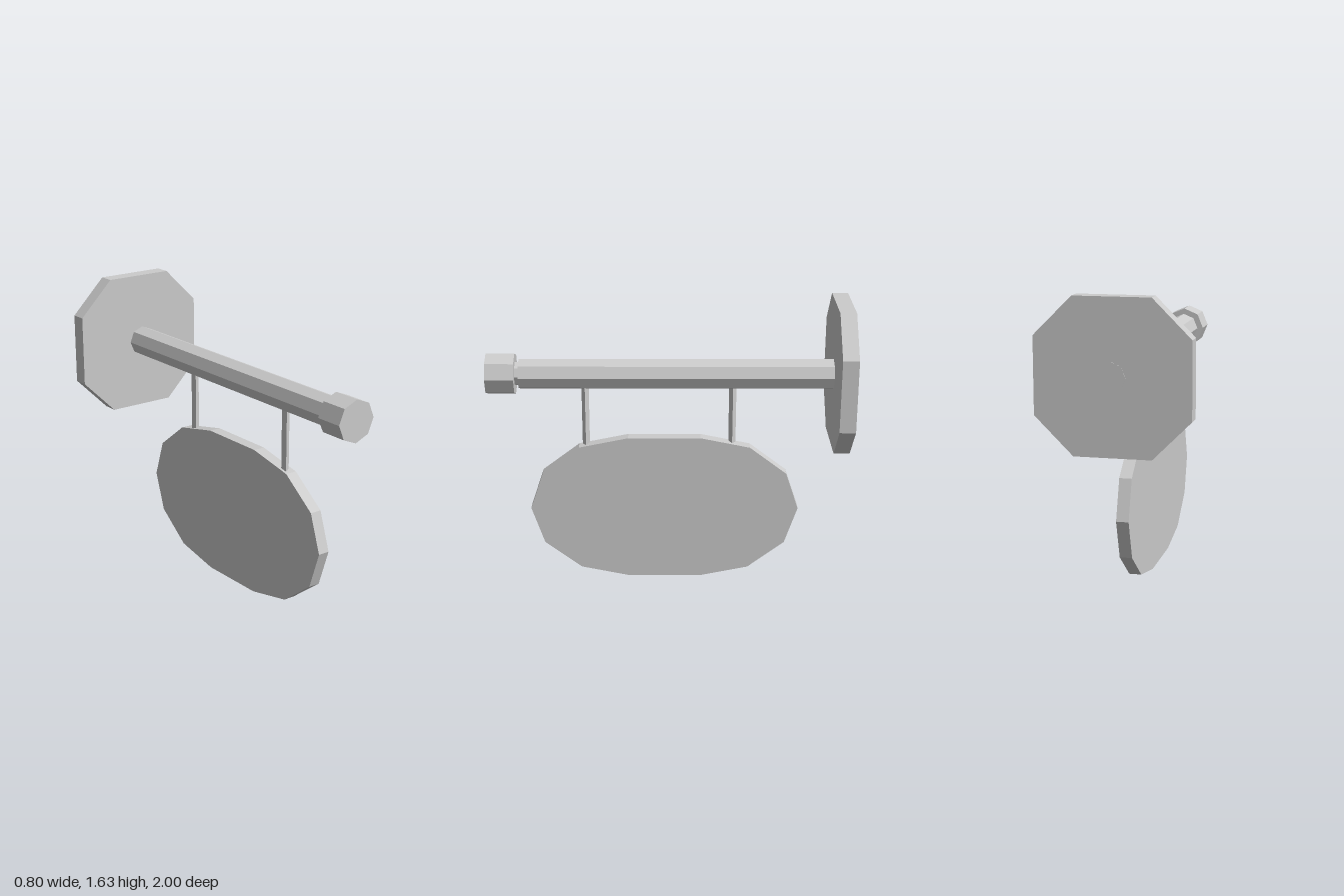
import * as THREE from 'three';

const material = new THREE.MeshStandardMaterial({ color: 0xcccccc, flatShading: true });

function addMesh(group, name, geometry) {
  const mesh = new THREE.Mesh(geometry, material);
  mesh.name = name;
  group.add(mesh);
  return mesh;
}

// Prism from a quarter outline mirrored into all four quadrants, extruded along z
function mirroredPrism(quarter, depth) {
  const back = [...quarter].reverse();
  const points = [
    ...quarter,
    ...back.map(([x, y]) => [-x, y]),
    ...quarter.map(([x, y]) => [-x, -y]),
    ...back.map(([x, y]) => [x, -y]),
  ].filter(([x, y], i, all) => i === 0 || Math.hypot(x - all[i - 1][0], y - all[i - 1][1]) > 1e-6);
  const first = points[0], last = points[points.length - 1];
  if (Math.hypot(first[0] - last[0], first[1] - last[1]) < 1e-6) points.pop();
  const shape = new THREE.Shape(points.map(([x, y]) => new THREE.Vector2(x, y)));
  return new THREE.ExtrudeGeometry(shape, { depth, bevelEnabled: false }).translate(0, 0, -depth / 2);
}

export function createModel() {
  const group = new THREE.Group();
  const poleX = 0.016, poleY = 1.23;

  // Octagonal wall plate
  addMesh(group, 'wallPlate', mirroredPrism([[0.4, 0.2], [0.2, 0.4]], 0.088))
    .position.set(0, poleY, -0.954);

  // Eight-sided pole, neck and end cap lying along z: name, radius, back z, front z
  for (const [name, radius, z0, z1] of [
    ['pole', 0.086, -1, 0.82],
    ['neck', 0.066, 0.8, 0.86],
    ['endCap', 0.116, 0.842, 1],
  ]) {
    const geometry = new THREE.CylinderGeometry(radius, radius, z1 - z0, 8).rotateX(Math.PI / 2);
    addMesh(group, name, geometry).position.set(poleX, poleY, (z0 + z1) / 2);
  }

  // Three-sided hanger rods, one edge facing +x
  for (const [name, z] of [['frontHanger', 0.46], ['backHanger', -0.36]]) {
    const geometry = new THREE.CylinderGeometry(0.0235, 0.0235, 0.43, 3).rotateY(Math.PI / 2);
    addMesh(group, name, geometry).position.set(0.0095, 0.985, z);
  }

  // Faceted oval sign board hanging in the yz plane
  const oval = [[0.76, 0], [0.6875, 0.215], [0.48, 0.373], [0.203, 0.43]];
  const board = addMesh(group, 'signBoard', mirroredPrism(oval, 0.067).rotateY(Math.PI / 2));
  board.position.set(0.0165, 0.43, 0.02);

  return group;
}
